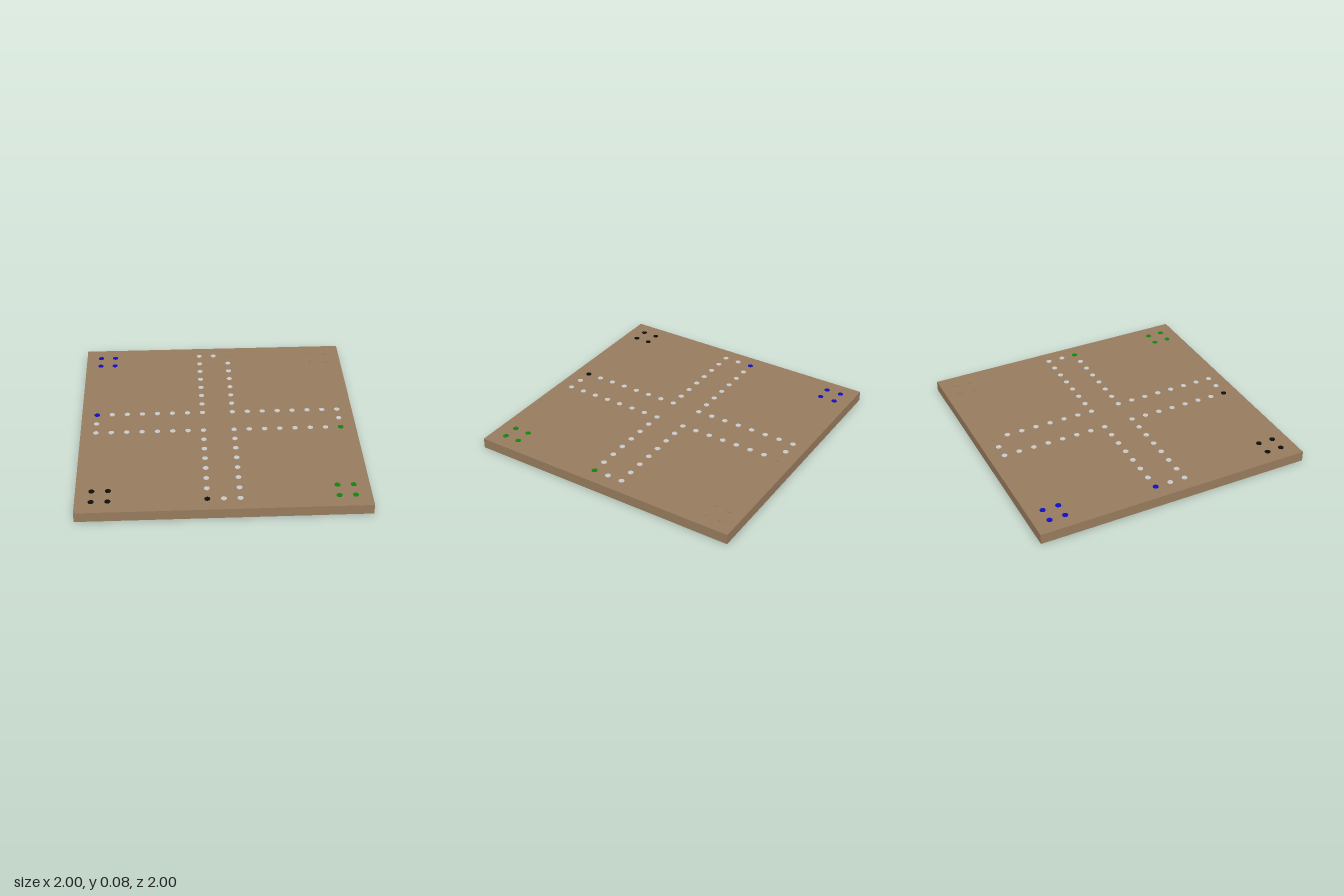
import * as THREE from 'three';

const PITCH = 1 / 9; // spacing of the playing fields
const BOARD_H = 0.074;
const DOT_H = 0.004;

function material(name, color) {
  const m = new THREE.MeshStandardMaterial({ color });
  m.name = name;
  return m;
}

export function createModel() {
  const model = new THREE.Group();
  model.name = 'boardGame';

  const wood = material('wood', 0x977b5d);
  const white = material('white', 0xc8c8c8);
  const blue = material('blue', 0x0c0cc8);
  const black = material('black', 0x0c0c0c);
  const green = material('green', 0x0c860c);

  // Square board
  const board = new THREE.Mesh(new THREE.BoxGeometry(2, BOARD_H, 2), wood);
  board.name = 'board';
  board.position.y = BOARD_H / 2;
  model.add(board);

  // Flat round fields, placed by grid column and row
  const dotGeometry = new THREE.CylinderGeometry(0.02, 0.02, DOT_H, 16);
  function addDot(parent, name, mat, col, row) {
    const dot = new THREE.Mesh(dotGeometry, mat);
    dot.name = name;
    dot.position.set(col * PITCH, BOARD_H + DOT_H / 2 - 0.001, row * PITCH);
    parent.add(dot);
  }

  // One quarter of the board per player, turned a quarter each time:
  // start field, lane towards the centre, arm end and home corner
  const players = [['blue', blue], ['wood', wood], ['green', green], ['black', black]];
  players.forEach(([label, mat], i) => {
    const quarter = new THREE.Group();
    quarter.name = label + 'Quarter';
    addDot(quarter, 'startField', mat, -8, -1);
    for (let c = -7; c <= -1; c++) addDot(quarter, 'pathField', white, c, -1);
    for (let r = -7; r <= -2; r++) addDot(quarter, 'pathField', white, -1, r);
    addDot(quarter, 'pathField', white, -1, -8);
    addDot(quarter, 'armEndField', white, 0, -8);
    for (const c of [-8, -7]) {
      for (const r of [-8, -7]) addDot(quarter, 'homeField', mat, c, r);
    }
    quarter.rotation.y = -i * Math.PI / 2;
    model.add(quarter);
  });

  return model;
}
